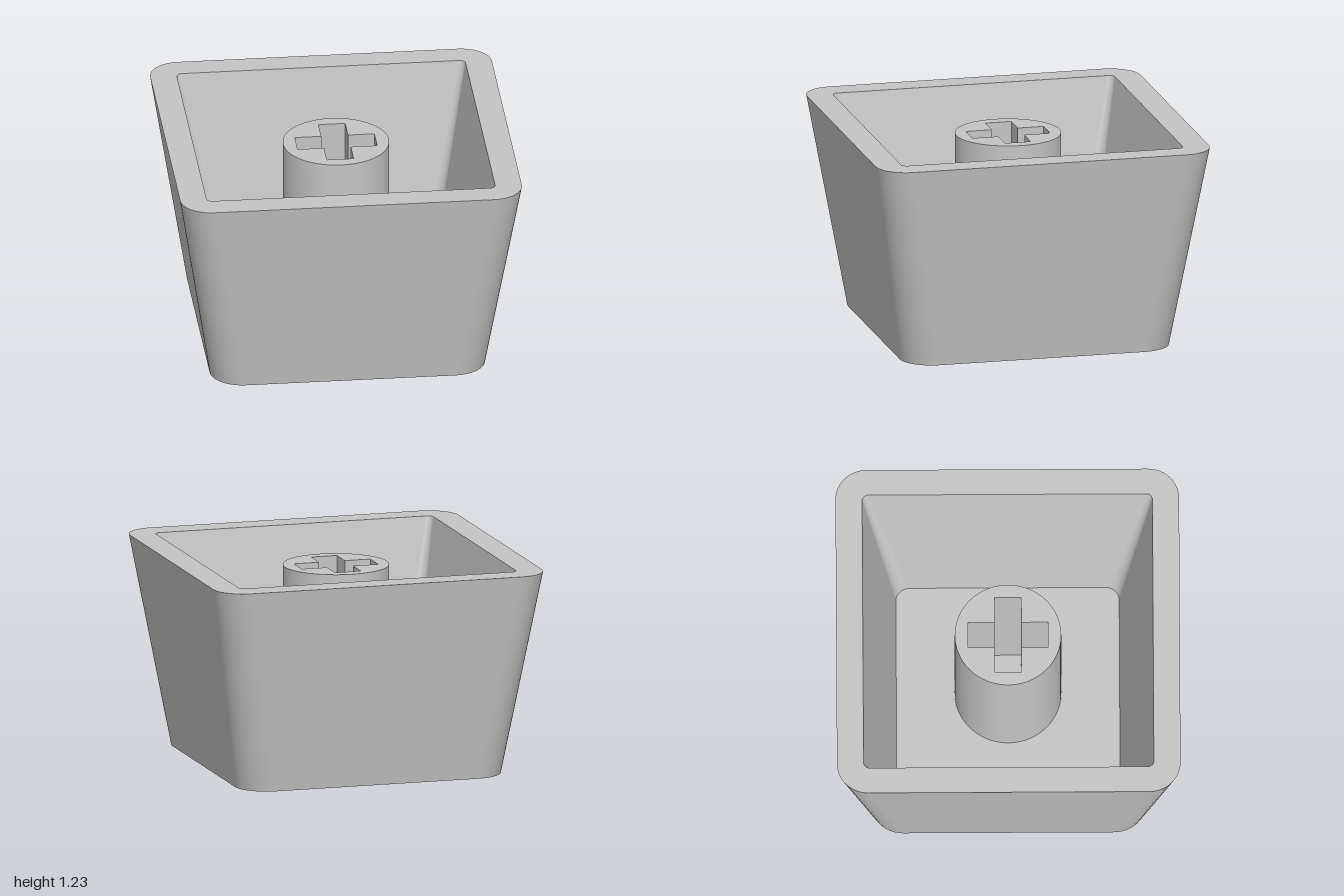
import * as THREE from 'three';
import { toCreasedNormals } from 'three/addons/utils/BufferGeometryUtils.js';

const HEIGHT = 1.225, FLOOR = 0.17, STEM_TOP = 1.155, STEPS = 12;

// Outline of a rounded square with half width h and corner radius r
function outline(h, r) {
  const points = [];
  for (let corner = 0; corner < 4; corner++) {
    const start = corner * Math.PI / 2;
    const cx = (h - r) * (corner === 0 || corner === 3 ? 1 : -1);
    const cy = (h - r) * (corner < 2 ? 1 : -1);
    for (let i = 0; i <= STEPS; i++) {
      const a = start + (i / STEPS) * Math.PI / 2;
      points.push(new THREE.Vector2(cx + r * Math.cos(a), cy + r * Math.sin(a)));
    }
  }
  return points;
}

// Smooth tapered wall between two outlines
function wall(low, lowY, high, highY, inward) {
  const n = low.length, positions = [], index = [];
  low.forEach(p => positions.push(p.x, lowY, p.y));
  high.forEach(p => positions.push(p.x, highY, p.y));
  for (let i = 0; i < n; i++) {
    const j = (i + 1) % n;
    if (inward) index.push(i, j, n + i, j, n + j, n + i);
    else index.push(i, n + i, j, j, n + i, n + j);
  }
  const geometry = new THREE.BufferGeometry();
  geometry.setAttribute('position', new THREE.Float32BufferAttribute(positions, 3));
  geometry.setIndex(index);
  geometry.computeVertexNormals();
  return geometry;
}

// Flat horizontal face, optionally with a hole
function plate(points, y, faceUp, hole) {
  const shape = new THREE.Shape(points);
  if (hole) shape.holes.push(new THREE.Path(hole));
  return new THREE.ShapeGeometry(shape)
    .rotateX(faceUp ? -Math.PI / 2 : Math.PI / 2)
    .translate(0, y, 0);
}

// Round post with a cross-shaped socket
function stemGeometry() {
  const shape = new THREE.Shape().absarc(0, 0, 0.31, 0, Math.PI * 2, false);
  const a = 0.233, b = 0.078;
  const cross = [[a, b], [b, b], [b, a], [-b, a], [-b, b], [-a, b],
    [-a, -b], [-b, -b], [-b, -a], [b, -a], [b, -b], [a, -b]];
  shape.holes.push(new THREE.Path(cross.map(([x, y]) => new THREE.Vector2(x, y))));
  const geometry = new THREE.ExtrudeGeometry(shape, {
    depth: STEM_TOP - FLOOR, bevelEnabled: false, curveSegments: 48,
  });
  geometry.rotateX(-Math.PI / 2).translate(0, FLOOR, 0);
  return toCreasedNormals(geometry, 0.6);
}

export function createModel() {
  const group = new THREE.Group();
  group.name = 'keycap';
  const grey = new THREE.MeshStandardMaterial({ color: 0xc4c4c4 });
  grey.name = 'light grey plastic';

  const add = (name, geometry) => {
    const mesh = new THREE.Mesh(geometry, grey);
    mesh.name = name;
    group.add(mesh);
  };

  const outerLow = outline(0.805, 0.19), outerHigh = outline(1, 0.18);
  const innerLow = outline(0.65, 0.08), innerHigh = outline(0.845, 0.035);

  // Hollow tapered shell
  add('outerWall', wall(outerLow, 0, outerHigh, HEIGHT, false));
  add('innerWall', wall(innerLow, FLOOR, innerHigh, HEIGHT, true));
  add('rim', plate(outerHigh, HEIGHT, true, innerHigh));
  add('innerFloor', plate(innerLow, FLOOR, true));
  add('bottomFace', plate(outerLow, 0, false));

  // Central mounting post
  add('stem', stemGeometry());
  return group;
}
